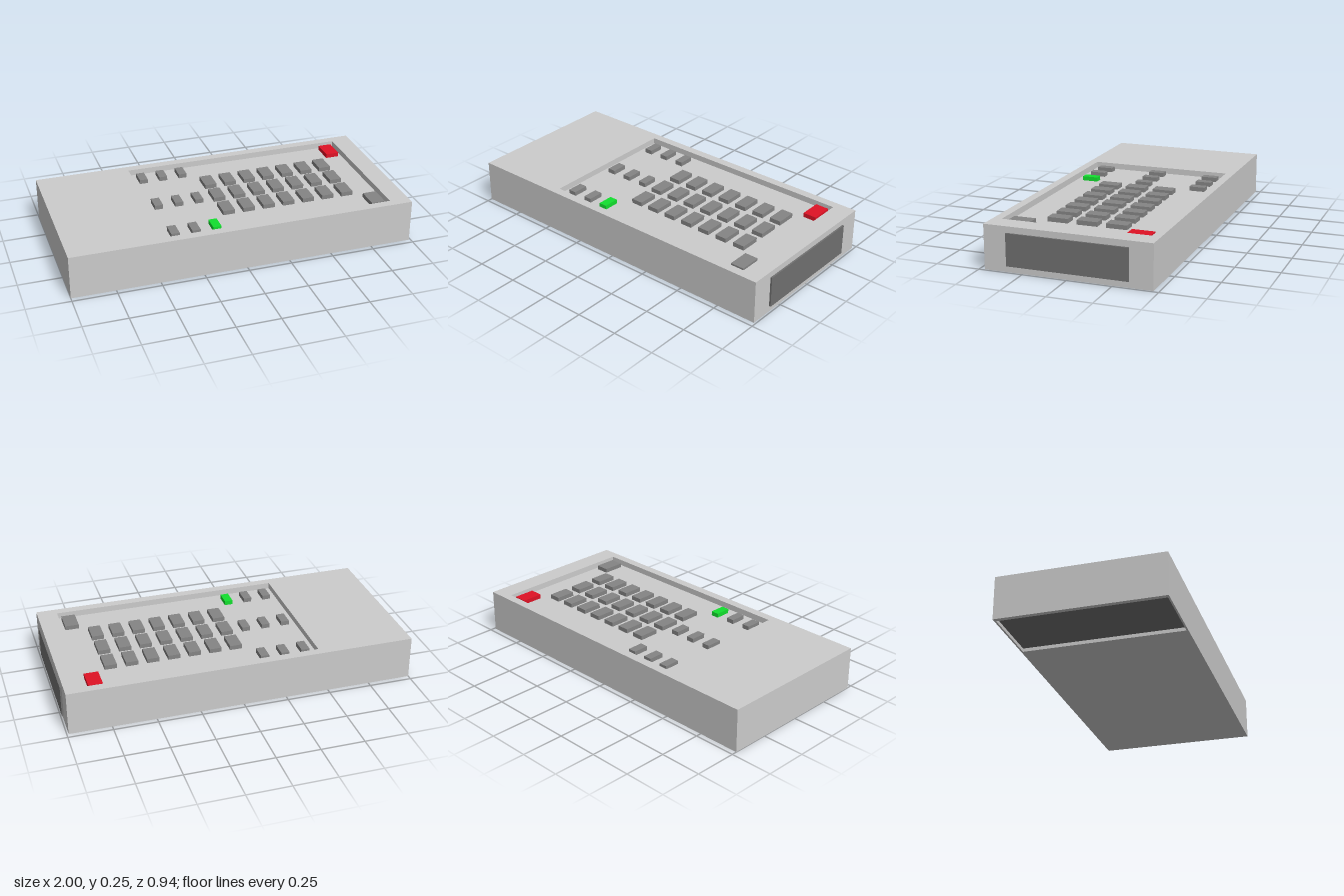
import * as THREE from 'three';

const material = (color) => new THREE.MeshStandardMaterial({ color });
const casing = material(0xcccccc);
const keyGrey = material(0x858585);
const darkGrey = material(0x707070);
const red = material(0xdf1225);
const green = material(0x12df2e);

// Four corners of a horizontal rectangle, counterclockwise from above
const ring = (x0, x1, z, y) => [[x0, y, z], [x1, y, z], [x1, y, -z], [x0, y, -z]];

// Flat-faced skin through a series of rectangles, closed at the last one
function skin(rings) {
  const points = [];
  const quad = (a, b, c, d) => points.push(...a, ...b, ...c, ...a, ...c, ...d);
  for (let i = 0; i < rings.length - 1; i++) {
    const lower = rings[i], upper = rings[i + 1];
    for (let j = 0; j < 4; j++) {
      const k = (j + 1) % 4;
      quad(lower[j], lower[k], upper[k], upper[j]);
    }
  }
  quad(...rings[rings.length - 1]);
  const geometry = new THREE.BufferGeometry();
  geometry.setAttribute('position', new THREE.Float32BufferAttribute(points, 3));
  geometry.computeVertexNormals();
  return geometry;
}

export function createModel() {
  const model = new THREE.Group();
  const add = (name, geometry, mat, x = 0, y = 0, z = 0, parent = model) => {
    const mesh = new THREE.Mesh(geometry, mat);
    mesh.name = name;
    mesh.position.set(x, y, z);
    parent.add(mesh);
    return mesh;
  };

  // Casing with a recess underneath and a keypad recess on top
  const floorY = 0.215;
  add('casing', skin([
    ring(-0.975, -0.595, 0.46, 0.02),
    ring(-0.975, -0.595, 0.46, 0),
    ring(-1, 0.99, 0.47, 0),
    ring(-1, 0.99, 0.47, 0.25),
    ring(-0.45, 0.875, 0.42, 0.25),
    ring(-0.45, 0.875, 0.42, floorY),
  ]), casing);

  // Cover closing the underside recess
  const cover = new THREE.PlaneGeometry(0.38, 0.92).rotateX(Math.PI / 2);
  add('bottomCover', cover, darkGrey, -0.785, 0.02, 0);

  // Window on the right end
  add('endWindow', new THREE.BoxGeometry(0.01, 0.18, 0.68), darkGrey, 0.995, 0.125, 0);

  // Keys standing on the recess floor
  const keypad = new THREE.Group();
  keypad.name = 'keypad';
  model.add(keypad);
  const keyHeight = 0.025;
  const keyY = floorY + keyHeight / 2;
  const smallKey = new THREE.BoxGeometry(0.048, keyHeight, 0.092);
  const mainKey = new THREE.BoxGeometry(0.07, keyHeight, 0.118);
  const largeKey = new THREE.BoxGeometry(0.08, keyHeight, 0.127);

  for (let row = -1; row <= 1; row++) {
    for (let col = 0; col < 3; col++) {
      const isGreen = row === 1 && col === 2;
      add(isGreen ? 'greenKey' : 'smallKey', smallKey, isGreen ? green : keyGrey,
        -0.388 + col * 0.12, keyY, -0.003 + row * 0.337, keypad);
    }
    for (let col = 0; col < 7; col++) {
      add('mainKey', mainKey, keyGrey, -0.028 + col * 0.1205, keyY, -0.003 + row * 0.168, keypad);
    }
  }
  add('redKey', largeKey, red, 0.815, keyY, -0.338, keypad);
  add('cornerKey', largeKey, keyGrey, 0.815, keyY, 0.332, keypad);

  return model;
}
